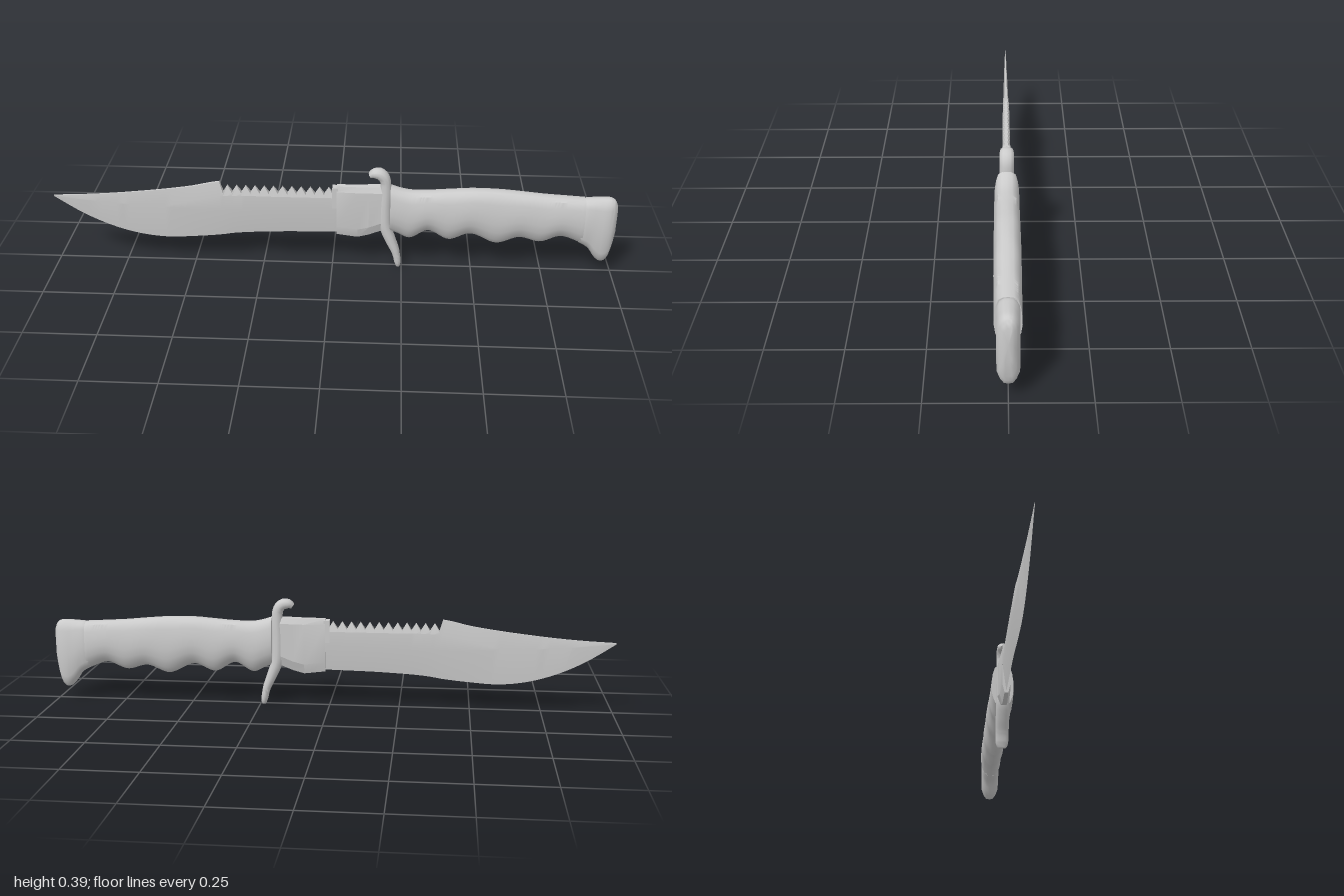
import * as THREE from 'three';
import { toCreasedNormals } from 'three/addons/utils/BufferGeometryUtils.js';

// Smooth lookup in a table whose first column is the position
function sampler(rows) {
  const n = rows[0].length - 1;
  const curve = new THREE.CubicInterpolant(
    rows.map(r => r[0]), rows.flatMap(r => r.slice(1)), n, new Float32Array(n));
  return x => Array.from(curve.evaluate(x));
}

// Mirror half a section, [y, z] from top to bottom, into a closed ring
const mirrorSection = half =>
  [...half, ...half.filter(p => p[1] !== 0).reverse().map(([y, z]) => [y, -z])];

// Skin rings of Vector3 and close both ends
function loft(rings, crease) {
  const n = rings[0].length, last = rings.length - 1, index = [];
  const points = rings.flat();
  for (let i = 0; i < last; i++) {
    for (let j = 0; j < n; j++) {
      const k = (j + 1) % n;
      const a = i * n + j, b = i * n + k, c = b + n, d = a + n;
      index.push(a, b, d, b, c, d);
    }
  }
  for (const i of [0, last]) {
    const mid = points.length;
    points.push(rings[i].reduce((s, p) => s.add(p), new THREE.Vector3()).divideScalar(n));
    for (let j = 0; j < n; j++) {
      const a = i * n + j, b = i * n + (j + 1) % n;
      index.push(mid, ...(i ? [a, b] : [b, a]));
    }
  }
  const geometry = new THREE.BufferGeometry().setFromPoints(points);
  geometry.setIndex(index);
  return toCreasedNormals(geometry, crease);
}

const ringAtX = (x, half) => mirrorSection(half).map(([y, z]) => new THREE.Vector3(x, y, z));

// Stations from a to b in equal steps
const steps = (a, b, n) => Array.from({ length: n + 1 }, (_, i) => a + (b - a) * i / n);

function bladeGeometry() {
  // x, spine, edge, upper ridge, lower ridge, half thickness
  const at = sampler([
    [-1, 0.256, 0.25, 0.254, 0.252, 0.001],
    [-0.9, 0.26, 0.185, 0.243, 0.24, 0.004],
    [-0.8, 0.267, 0.137, 0.235, 0.232, 0.006],
    [-0.7, 0.277, 0.107, 0.228, 0.225, 0.008],
    [-0.6, 0.289, 0.095, 0.227, 0.221, 0.0095],
    [-0.5, 0.304, 0.1, 0.25, 0.217, 0.011],
    [-0.4, 0.325, 0.11, 0.272, 0.216, 0.012],
    [-0.35, 0.325, 0.118, 0.275, 0.218, 0.0125],
    [-0.2, 0.325, 0.128, 0.275, 0.222, 0.013],
    [0, 0.325, 0.133, 0.275, 0.228, 0.013],
  ]);
  const section = (x, top, topZ) => {
    const [spine, edge, upper, lower, z] = at(x);
    return ringAtX(x, [[top ?? spine, topZ ?? z * 0.35], [upper, z], [lower, z], [edge, 0]]);
  };
  const rings = steps(-1, -0.4, 24).map(x => section(x));
  // Saw teeth: valley, peak, valley...
  const teeth = 12;
  steps(-0.388, 0.004, teeth * 2).forEach((x, i) =>
    rings.push(i % 2 ? section(x, 0.312, 0.003) : section(x, 0.284, 0.011)));
  rings.push(section(0.03, 0.3, 0.011));
  return loft(rings, 0.2);
}

function ricassoGeometry() {
  const rows = [
    [0.015, 0.32, 0.128, 0.015], [0.09, 0.32, 0.119, 0.019],
    [0.13, 0.321, 0.13, 0.021], [0.18, 0.322, 0.15, 0.022],
  ];
  return loft(rows.map(([x, top, bottom, z]) => ringAtX(x, [
    [top, z * 0.6], [top - 0.02, z], [bottom + 0.035, z], [bottom, z * 0.45],
  ])), 0.3);
}

function guardGeometry() {
  // Curved bar in the side plane, hooked forward above and swept back below
  const path = new THREE.CatmullRomCurve3([
    [0.132, 0.362], [0.142, 0.369], [0.165, 0.37], [0.183, 0.352], [0.188, 0.31], [0.186, 0.23],
    [0.19, 0.16], [0.208, 0.11], [0.228, 0.06], [0.237, 0.015], [0.238, 0.003],
  ].map(([x, y]) => new THREE.Vector3(x, y, 0)));
  const size = sampler([
    [0, 0.009, 0.014], [0.04, 0.016, 0.022], [0.2, 0.019, 0.024], [0.45, 0.021, 0.025],
    [0.7, 0.019, 0.025], [0.9, 0.013, 0.024], [0.97, 0.011, 0.022], [1, 0.007, 0.016],
  ]);
  const rings = steps(0, 1, 48).map(t => {
    const p = path.getPointAt(t), d = path.getTangentAt(t), [w, z] = size(t);
    const half = [[1, 0], [0.94, 0.5], [0.6, 0.9], [0, 1], [-0.6, 0.9], [-0.94, 0.5], [-1, 0]];
    return mirrorSection(half).map(([u, v]) =>
      new THREE.Vector3(p.x - d.y * u * w, p.y + d.x * u * w, v * z));
  });
  return loft(rings, 0.9);
}

// Body of rounded sections from rows of x, top, bottom, half width
function gripLoft(rows, stations, half) {
  const at = sampler(rows);
  return loft(stations.map(x => {
    const [top, bottom, z] = at(x);
    return ringAtX(x, half.map(([v, w]) => [bottom + (top - bottom) * v, w * z]));
  }), 0.75);
}

function handleGeometry() {
  // The lower outline waves to form the finger grooves
  const rows = [
    [0.205, 0.324, 0.15, 0.042], [0.235, 0.314, 0.137, 0.043], [0.275, 0.306, 0.12, 0.043],
    [0.34, 0.306, 0.153, 0.043], [0.415, 0.312, 0.118, 0.044], [0.49, 0.317, 0.144, 0.044],
    [0.585, 0.316, 0.108, 0.044], [0.665, 0.309, 0.134, 0.044], [0.74, 0.302, 0.118, 0.043],
    [0.81, 0.297, 0.143, 0.043], [0.885, 0.293, 0.117, 0.042],
  ];
  const half = [[1, 0], [0.985, 0.4], [0.94, 0.7], [0.8, 0.87], [0.63, 0.97], [0.45, 1],
    [0.28, 0.9], [0.12, 0.66], [0.03, 0.34], [0, 0]];
  return gripLoft(rows, steps(0.205, 0.885, 68), half);
}

function pommelGeometry() {
  const rows = [
    [0.875, 0.286, 0.122, 0.031], [0.89, 0.292, 0.114, 0.034], [0.91, 0.294, 0.1, 0.035],
    [0.935, 0.296, 0.064, 0.035], [0.955, 0.297, 0.048, 0.035], [0.97, 0.297, 0.05, 0.033],
    [0.982, 0.294, 0.064, 0.029], [0.992, 0.286, 0.1, 0.022], [1, 0.268, 0.15, 0.012],
  ];
  const half = [[1, 0], [0.99, 0.4], [0.94, 0.75], [0.85, 0.98], [0.5, 1],
    [0.17, 0.98], [0.07, 0.72], [0.01, 0.4], [0, 0]];
  return gripLoft(rows, [...steps(0.875, 0.98, 14), 0.985, 0.99, 0.995, 1], half);
}

export function createModel() {
  const model = new THREE.Group();
  model.name = 'survivalKnife';
  const material = new THREE.MeshStandardMaterial({ color: 0xcccccc });
  const add = (name, geometry) => {
    const mesh = new THREE.Mesh(geometry, material);
    mesh.name = name;
    model.add(mesh);
    return mesh;
  };
  add('blade', bladeGeometry());
  add('ricasso', ricassoGeometry());
  // Upper shank bridges the narrow slot behind the cutting edge
  add('upperShank', new THREE.BoxGeometry(0.02, 0.08, 0.028)).position.set(0.01, 0.275, 0);
  add('guard', guardGeometry());
  add('handle', handleGeometry());
  add('pommel', pommelGeometry());
  return model;
}
